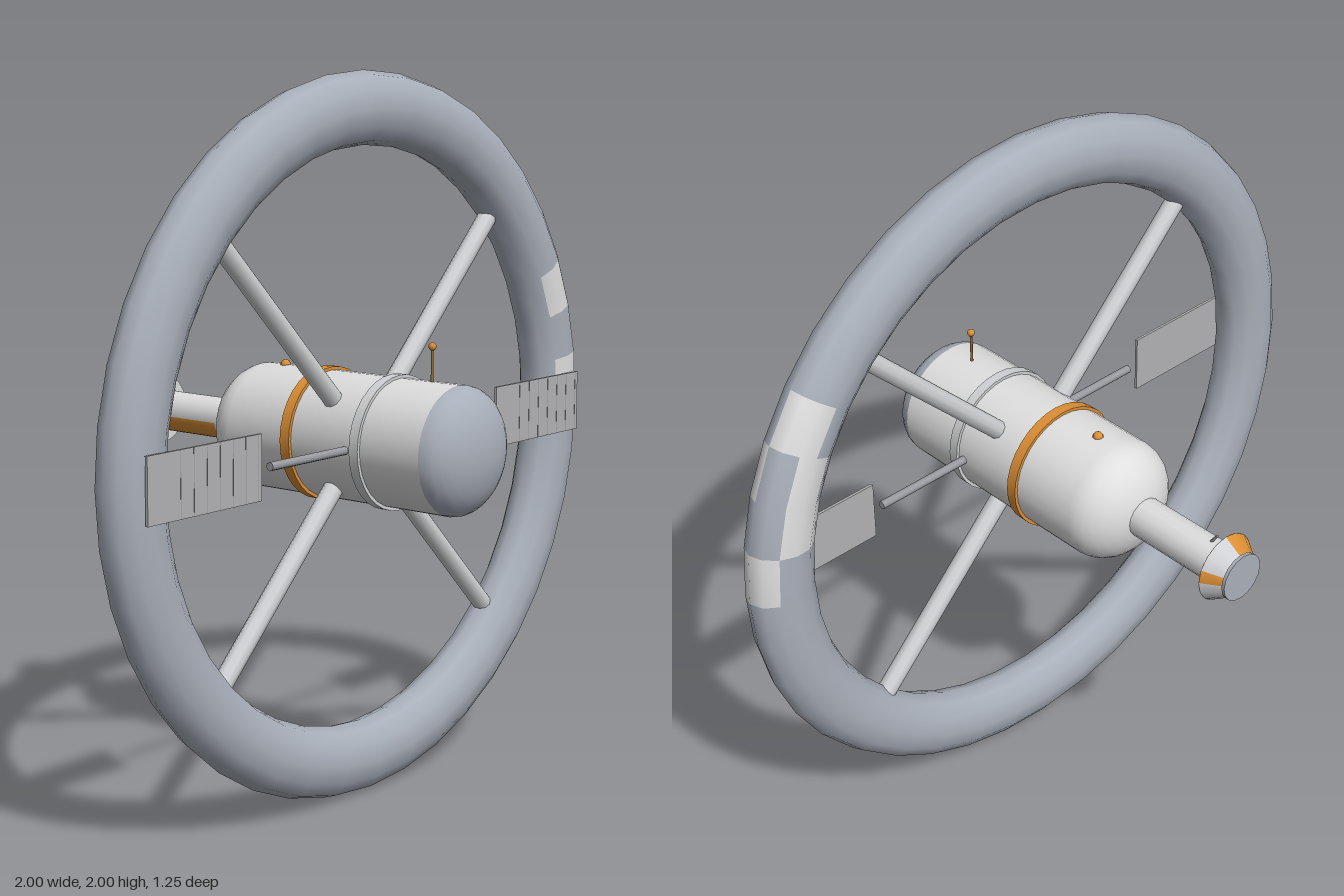
import * as THREE from 'three';
import { toCreasedNormals } from 'three/addons/utils/BufferGeometryUtils.js';

const mat = (name, color, side = THREE.FrontSide) =>
  Object.assign(new THREE.MeshStandardMaterial({ color, side }), { name });

export function createModel() {
  const M = {
    blueGrey: mat('blueGrey', 0xa9afba),
    white: mat('hullWhite', 0xdfdfdf, THREE.DoubleSide),
    spoke: mat('spokeGrey', 0xd0d1d4),
    orange: mat('orange', 0xdc8f36, THREE.DoubleSide),
    panel: mat('panelGrey', 0xb2b2b4),
    seam: mat('seamGrey', 0x97979a),
    frame: mat('frameGrey', 0x9a9ca2),
    brown: mat('antennaBrown', 0x9a6a35),
  };
  const root = new THREE.Group();
  root.name = 'spaceStation';
  const add = (name, geo, material, x = 0, y = 0, z = 0, parent = root) => {
    const m = new THREE.Mesh(geo, material);
    m.name = name;
    m.position.set(x, y, z);
    parent.add(m);
    return m;
  };
  // Surface of revolution about the z axis; points are [radius, z], listed back to front
  const lathe = (pts) => {
    const g = new THREE.LatheGeometry(pts.map(([r, z]) => new THREE.Vector2(r, z)), 32);
    g.rotateX(Math.PI / 2);
    return toCreasedNormals(g, 0.6);
  };
  // Elliptical dome profile from angle a to b
  const arc = (r, depth, z, a, b, n = 8) => Array.from({ length: n + 1 }, (_, i) => {
    const t = a + (b - a) * i / n;
    return [Math.max(0, r * Math.cos(t)), z + depth * Math.sin(t)];
  });
  // Open tube along z, optionally only a slice of it (angle 0 is the underside)
  const sleeve = (rFront, rBack, length, seg, start = 0, sweep = Math.PI * 2) =>
    new THREE.CylinderGeometry(rFront, rBack, length, seg, 1, true, start, sweep).rotateX(Math.PI / 2);
  const CY = 1.003, R = 0.177;

  // Habitat wheel with light plates set into its skin
  const SIDES = 12, SECTORS = 40;
  const wheel = new THREE.TorusGeometry(0.9, 0.1, SIDES, SECTORS);
  wheel.scale(1, 1, 0.75);
  // sector number -> strips around the tube (0 outer front, 11 outer back)
  const plates = { 0: [0, 1, 2, 3, 10, 11], 1: [7, 8, 9], 2: [0, 1, 2, 3, 8, 9], 3: [9, 10, 11] };
  for (let j = 0; j < SIDES; j++) {
    for (let i = 0; i < SECTORS; i++) {
      const index = plates[i]?.includes(j) ? 1 : 0;
      const last = wheel.groups[wheel.groups.length - 1];
      if (last && last.materialIndex === index) last.count += 6;
      else wheel.addGroup((j * SECTORS + i) * 6, 6, index);
    }
  }
  add('wheel', wheel, [M.blueGrey, M.white], 0, 1, 0.195);

  // Spokes
  for (let k = 0; k < 4; k++) {
    const a = Math.PI / 4 + k * Math.PI / 2;
    const s = add('spoke', new THREE.CylinderGeometry(0.028, 0.028, 0.72, 10), M.spoke,
      Math.cos(a) * 0.48, 1 + Math.sin(a) * 0.48, 0.195);
    s.rotation.z = a - Math.PI / 2;
  }

  // Hub
  const hub = new THREE.Group();
  hub.name = 'hub';
  hub.position.y = CY;
  root.add(hub);
  add('hubBody', lathe([...arc(R, 0.13, -0.14, -Math.PI / 2, 0), [R, 0.525]]), M.white, 0, 0, 0, hub);
  add('frontDome', lathe(arc(R, 0.095, 0.525, 0, Math.PI / 2)), M.blueGrey, 0, 0, 0, hub);
  const band = (name, z0, z1, r, m) =>
    add(name, lathe([[R - 0.01, z0], [r, z0], [r, z1], [R - 0.01, z1]]), m, 0, 0, 0, hub);
  band('frontFlange', 0.3, 0.33, 0.186, M.spoke);
  band('orangeBand', 0.058, 0.09, 0.186, M.orange);

  // Docking tube with an orange strip low on its right side
  add('dockingTube', sleeve(0.058, 0.058, 0.33, 16), M.white, 0, 0, -0.405, hub);
  add('tubeStrip', sleeve(0.06, 0.06, 0.26, 6, -1.45, 1.2), M.orange, 0, 0, -0.43, hub);

  // Flared docking collar, its top right quarter and one left facet painted
  const STEP = Math.PI / 8;
  for (const [first, count, m] of [[0, 4, M.spoke], [4, 1, M.orange], [5, 3, M.spoke],
    [8, 4, M.orange], [12, 4, M.spoke]]) {
    add('collarPart', sleeve(0.1, 0.064, 0.055, count, first * STEP, count * STEP), m, 0, 0, -0.588, hub);
  }
  // Collar floor, closing the flare towards the tube
  add('collarFloor', lathe([[0.056, -0.561], [0.1, -0.561]]), M.white, 0, 0, 0, hub);
  const cap = new THREE.CylinderGeometry(0.07, 0.07, 0.01, 16);
  cap.rotateX(Math.PI / 2);
  add('dockingCap', cap, M.blueGrey, 0, 0, -0.62, hub);
  const fin = add('tubeAntenna', new THREE.CylinderGeometry(0.004, 0.004, 0.04, 6), M.frame, 0, 0.07, -0.52, hub);
  fin.rotation.x = -0.6;

  // Mast and beacons
  add('mast', new THREE.CylinderGeometry(0.004, 0.004, 0.11, 6), M.brown, 0, 0.217, 0.435, hub);
  add('mastBeacon', new THREE.SphereGeometry(0.011, 12, 8), M.orange, 0, 0.272, 0.435, hub);
  add('rearBeacon', new THREE.SphereGeometry(0.015, 12, 8), M.orange, 0, 0.176, -0.08, hub);

  // Side arms and solar panels
  for (const s of [-1, 1]) {
    const arm = add('panelArm', new THREE.CylinderGeometry(0.012, 0.012, 0.33, 8), M.frame, s * 0.315, 1, 0.28);
    arm.rotation.z = Math.PI / 2;
    const panel = new THREE.Group();
    panel.name = 'solarPanel';
    panel.position.set(s * 0.72, 1.003, 0.277);
    root.add(panel);
    add('panelSheet', new THREE.BoxGeometry(0.418, 0.175, 0.008), M.panel, 0, 0, 0, panel);
    for (let i = 0; i < 7; i++) {
      add('panelSeam', new THREE.BoxGeometry(0.002, 0.175, 0.001), M.seam, -0.092 + i * 0.048, 0, 0.0042, panel);
    }
  }
  return root;
}
